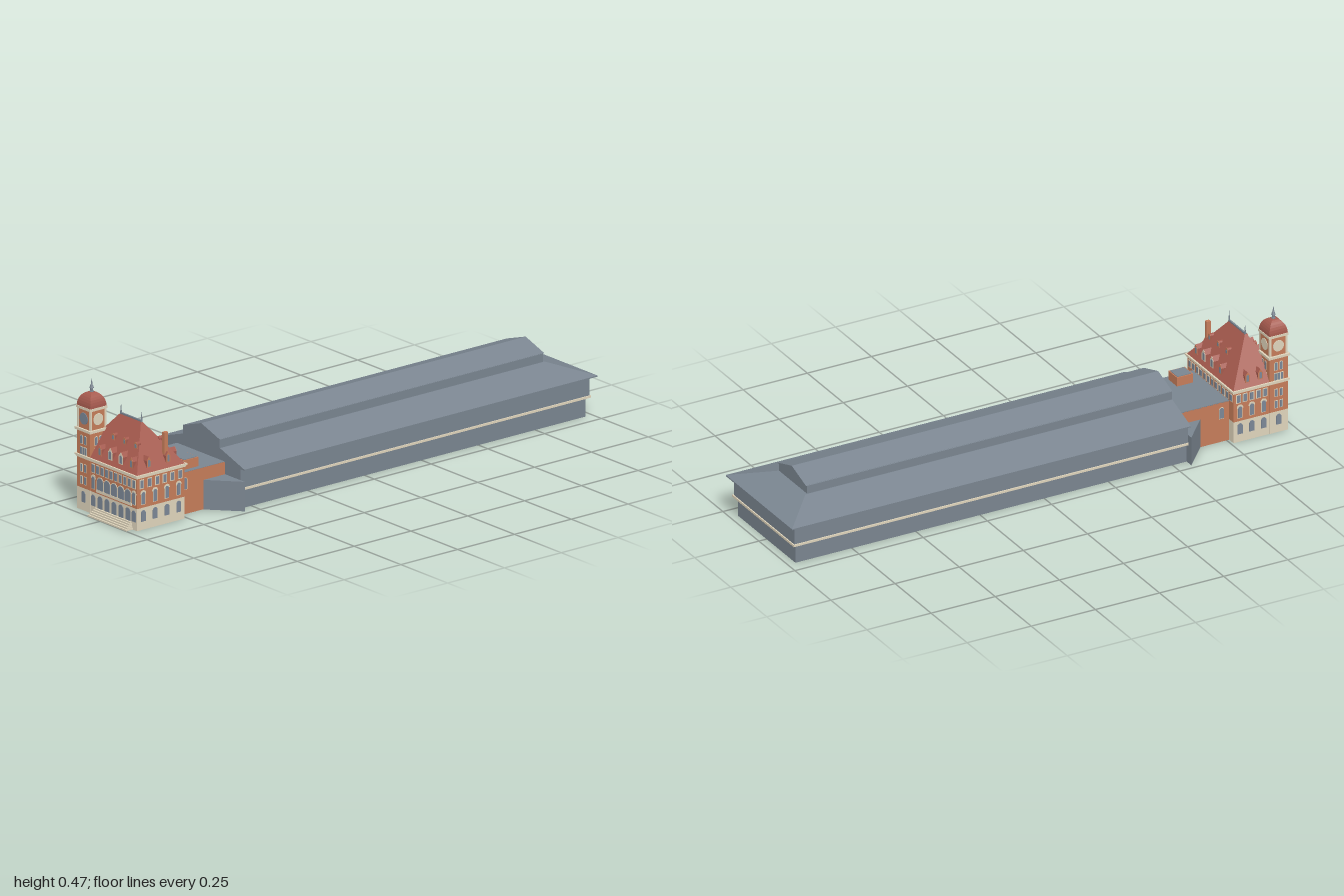
import * as THREE from 'three';

const mat = (name, color) => {
  const m = new THREE.MeshStandardMaterial({ color, side: THREE.DoubleSide });
  m.name = name;
  return m;
};

export function createModel() {
  const root = new THREE.Group();
  root.name = 'trainStation';
  const brick = mat('brick', 0xc67d5a), stone = mat('cream stone', 0xe0d5bc);
  const tile = mat('red roof tile', 0xa65a4e), slate = mat('slate', 0x7a8590);
  const glass = mat('window glass', 0x7c8796);

  const add = (parent, name, geo, m) => {
    const mesh = new THREE.Mesh(geo, m);
    mesh.name = name;
    parent.add(mesh);
    return mesh;
  };
  const group = (name, x, z, angle) => {
    const g = new THREE.Group();
    g.name = name;
    g.position.set(x, 0, z);
    g.rotation.y = angle;
    root.add(g);
    return g;
  };
  const flat = (geo) => {
    const g = geo.index ? geo.toNonIndexed() : geo;
    g.computeVertexNormals();
    return g;
  };
  // Box whose top rectangle may differ from its bottom; rectangles are [x0, x1, z0, z1]
  const block = (parent, name, m, y0, y1, a, b = a) => {
    const geo = new THREE.BoxGeometry(2, 2, 2), p = geo.attributes.position;
    for (let i = 0; i < p.count; i++) {
      const r = p.getY(i) > 0 ? b : a;
      p.setXYZ(i, r[p.getX(i) > 0 ? 1 : 0], p.getY(i) > 0 ? y1 : y0, r[p.getZ(i) > 0 ? 3 : 2]);
    }
    return add(parent, name, flat(geo), m);
  };
  // Open walls standing on a plan line of [x, z] points
  const walls = (name, m, y0, y1, pts) => {
    const v = [];
    for (let i = 0; i + 1 < pts.length; i++) {
      const [[ax, az], [bx, bz]] = [pts[i], pts[i + 1]];
      v.push(ax, y0, az, bx, y0, bz, bx, y1, bz, ax, y0, az, bx, y1, bz, ax, y1, az);
    }
    const geo = new THREE.BufferGeometry();
    geo.setAttribute('position', new THREE.Float32BufferAttribute(v, 3));
    return add(root, name, flat(geo), m);
  };
  const poly = (pts) => new THREE.Shape(pts.map(([x, y]) => new THREE.Vector2(x, y)));
  const extrude = (shape, depth) =>
    new THREE.ExtrudeGeometry(shape, { depth, bevelEnabled: false, curveSegments: 8 });
  // Flat slab raised from a plan outline of [x, z] points
  const planSlab = (name, m, y0, y1, pts) => {
    const geo = extrude(poly(pts.map(([x, z]) => [x, -z])), y1 - y0);
    geo.rotateX(-Math.PI / 2).translate(0, y0, 0);
    return add(root, name, geo, m);
  };
  // Upright opening outline, square or round-headed
  const pane = (u, w, y0, y1, arched) => {
    const s = new THREE.Shape(), r = w / 2;
    s.moveTo(u - r, y0);
    s.lineTo(u + r, y0);
    if (arched) {
      s.lineTo(u + r, y1 - r);
      s.absarc(u, y1 - r, r, 0, Math.PI, false);
    } else {
      s.lineTo(u + r, y1);
      s.lineTo(u - r, y1);
    }
    s.closePath();
    return s;
  };
  const plate = (g, name, d, shape, t, m) => { add(g, name, extrude(shape, t), m).position.z = d; };
  // Window pane with an optional stone surround on a wall at distance d
  const windowAt = (g, d, u, w, y0, y1, arched = false, f = 0) => {
    if (f) plate(g, 'windowSurround', d, pane(u, w + 2 * f, y0 - f, y1 + f, arched), 0.001, stone);
    plate(g, 'windowPane', d, pane(u, w, y0, y1, arched), 0.002, glass);
  };
  const hoodedWindow = (g, d, u) => {
    plate(g, 'windowHood', d, pane(u, 0.025, 0.128, 0.142, true), 0.001, stone);
    windowAt(g, d, u, 0.015, 0.092, 0.135, true, 0.002);
  };
  // Dormer on a roof face; depthAt gives the face distance at a height
  const dormer = (g, depthAt, u, y, w, h, m, round) => {
    const r = w / 2, e = y + h * 0.62, z0 = depthAt(y + h), len = depthAt(y) - z0;
    const shape = round ? pane(u, w, y, y + h, true)
      : poly([[u - r, y], [u + r, y], [u + r, e], [u, y + h], [u - r, e]]);
    plate(g, 'dormer', z0, shape, len, tile);
    plate(g, 'dormerFront', z0 + len, shape, 0.001, m);
    windowAt(g, z0 + len, u, w * 0.52, y + 0.003, e + h * 0.1, true);
  };

  // Head house: L-shaped plan leaving the front corner for the tower
  const plan = [[-0.16, 0.76], [0.16, 0.76], [0.16, 0.97], [-0.09, 0.97], [-0.09, 0.9], [-0.16, 0.9]];
  walls('groundStorey', stone, 0, 0.079, [...plan, plan[0]]);
  planSlab('firstFloor', stone, 0.075, 0.079, plan);
  planSlab('upperStoreys', brick, 0.079, 0.19, plan);
  block(root, 'cornice', stone, 0.187, 0.193, [-0.163, 0.163, 0.757, 0.973]);
  block(root, 'corniceLip', stone, 0.193, 0.199, [-0.167, 0.167, 0.753, 0.977]);
  block(root, 'headHouseRoof', tile, 0.199, 0.345, [-0.161, 0.161, 0.759, 0.971], [-0.056, 0.056, 0.863, 0.867]);
  block(root, 'ridgeCap', slate, 0.342, 0.349, [-0.056, 0.058, 0.862, 0.868]);
  for (const x of [-0.053, 0.057])
    add(root, 'ridgeFinial', new THREE.ConeGeometry(0.004, 0.04, 6), slate).position.set(x, 0.363, 0.865);

  // Facades
  const row = (n, a, b) => Array.from({ length: n }, (_, i) => a + (b - a) * i / (n - 1));
  const front = group('frontFacade', 0, 0.865, 0);
  const back = group('backFacade', 0, 0.865, Math.PI);
  const leftSide = group('leftFacade', 0, 0.865, Math.PI / 2);
  const rightSide = group('rightFacade', 0, 0.865, -Math.PI / 2);
  for (const u of row(5, -0.036, 0.112)) {
    windowAt(front, 0.105, u, 0.025, 0.028, 0.073, true);
    windowAt(front, 0.105, u, 0.031, 0.094, 0.138, true, 0.003);
  }
  block(front, 'balustrade', stone, 0.084, 0.094, [-0.056, 0.132, 0.1, 0.1075]);
  for (const u of [-0.073, 0.144]) {
    windowAt(front, 0.105, u, 0.02, 0.03, 0.07, true);
    hoodedWindow(front, 0.105, u);
  }
  for (const u of row(10, -0.074, 0.144)) windowAt(front, 0.105, u, 0.013, 0.151, 0.178, false, 0.003);
  for (const u of row(12, -0.143, 0.143)) windowAt(back, 0.105, u, 0.013, 0.156, 0.178, false, 0.003);
  for (const [g, lo, hi, n] of [[leftSide, -0.078, 0.078, 4], [rightSide, -0.08, 0.012, 3]]) {
    for (const u of row(n, lo, hi)) {
      windowAt(g, 0.16, u, 0.02, 0.03, 0.07, true);
      hoodedWindow(g, 0.16, u);
    }
    for (const u of row(n + 2, lo - 0.006, hi + 0.006)) windowAt(g, 0.16, u, 0.013, 0.151, 0.178, false, 0.003);
  }

  // Dormers
  const slope = (d, top) => (y) => d - (d - top) * (y - 0.199) / 0.146;
  for (const [g, s] of [[front, 1], [back, -1]]) {
    const at = slope(0.106, 0.002);
    for (const u of [-0.051, 0.118]) dormer(g, at, s * u, 0.214, 0.018, 0.037, brick, false);
    for (const u of [0.006, 0.063]) dormer(g, at, s * u, 0.213, 0.024, 0.043, stone, false);
    for (const u of [-0.026, 0.034, 0.094]) dormer(g, at, s * u, 0.269, 0.016, 0.023, brick, true);
  }
  const sideSlope = slope(0.161, 0.056);
  for (const u of [-0.045, 0.04]) dormer(leftSide, sideSlope, u, 0.214, 0.018, 0.038, brick, false);
  for (const u of [-0.045, 0.005]) dormer(rightSide, sideSlope, u, 0.214, 0.018, 0.038, brick, false);

  // Chimney
  block(root, 'chimneyStack', brick, 0.21, 0.319, [0.128, 0.141, 0.817, 0.833]);

  // Entrance steps
  for (let i = 0; i < 5; i++)
    block(root, 'step', stone, i * 0.0054, (i + 1) * 0.0054,
      [-0.068 + i * 0.002, 0.138 - i * 0.002, 0.965, 1 - i * 0.006]);

  // Clock tower
  const tx = -0.125, tz = 0.935, square = (h) => [tx - h, tx + h, tz - h, tz + h];
  const [x0, x1, z0, z1] = square(0.036);
  walls('towerBase', stone, 0, 0.08, [[x0, z0], [x1, z0], [x1, z1], [x0, z1], [x0, z0]]);
  block(root, 'towerShaft', brick, 0.08, 0.285, square(0.036));
  block(root, 'towerBand', stone, 0.187, 0.199, square(0.038));
  block(root, 'towerCornice', stone, 0.284, 0.293, square(0.041));
  block(root, 'clockStage', brick, 0.293, 0.362, square(0.034));
  for (const sx of [-1, 1]) for (const sz of [-1, 1]) {
    const cx = tx + sx * 0.0315, cz = tz + sz * 0.0315;
    block(root, 'cornerPier', stone, 0.293, 0.362, [cx - 0.004, cx + 0.004, cz - 0.004, cz + 0.004]);
  }
  block(root, 'domeCornice', stone, 0.362, 0.371, square(0.038));
  const dome = Array.from({ length: 9 }, (_, i) => {
    const a = i / 8 * Math.PI / 2;
    return new THREE.Vector2(0.036 * Math.SQRT2 * Math.cos(a), 0.371 + 0.05 * Math.sin(a));
  });
  add(root, 'towerDome', flat(new THREE.LatheGeometry(dome, 4, Math.PI / 4)), tile).position.set(tx, 0, tz);
  const spire = [[0.008, 0.417], [0.008, 0.422], [0.005, 0.423], [0.005, 0.432], [0.008, 0.433], [0.003, 0.447], [0, 0.468]];
  add(root, 'towerSpire', flat(new THREE.LatheGeometry(spire.map(([r, y]) => new THREE.Vector2(r, y)), 8)), slate)
    .position.set(tx, 0, tz);
  for (let k = 0; k < 4; k++) {
    const g = group('towerFace', tx, tz, k * Math.PI / 2);
    const clock = add(g, 'clockFace', new THREE.CylinderGeometry(0.021, 0.021, 0.004, 24), k === 0 ? glass : stone);
    clock.rotation.x = Math.PI / 2;
    clock.position.set(0, 0.329, 0.034);
    for (const u of [-0.01, 0.01]) windowAt(g, 0.036, u, 0.01, 0.239, 0.268, true, 0.002);
    for (const u of [-0.012, 0, 0.012]) windowAt(g, 0.036, u, 0.008, 0.201, 0.226, false, 0.002);
    if (k === 1 || k === 2) continue;
    windowAt(g, 0.036, 0, 0.019, 0.03, 0.069, true);
    for (const u of [-0.01, 0.01]) for (const y of [0.095, 0.139])
      windowAt(g, 0.036, u, 0.009, y, y + 0.026, false, 0.002);
  }

  // Link between head house and shed
  walls('linkWalls', brick, 0, 0.15, [[-0.13, 0.76], [-0.13, 0.555], [0.125, 0.555], [0.125, 0.76]]);
  block(root, 'linkRoof', slate, 0.148, 0.151, [-0.13, 0.125, 0.555, 0.76]);
  block(root, 'roofHousing', brick, 0.15, 0.184, [0.045, 0.105, 0.655, 0.718]);
  block(root, 'roofHousingTop', slate, 0.183, 0.186, [0.049, 0.101, 0.659, 0.714]);
  windowAt(leftSide, 0.125, 0.135, 0.016, 0.09, 0.13, true, 0.002);
  windowAt(rightSide, 0.13, -0.135, 0.016, 0.09, 0.13, true, 0.002);
  for (const s of [-1, 1]) {
    const wing = [[s * 0.127, 0.65], [s * 0.232, 0.555], [s * 0.127, 0.555]];
    walls('wingWalls', slate, 0, 0.104, wing);
    planSlab('wingRoof', slate, 0.102, 0.106, wing);
  }

  // Train shed: open base under a raised platform slab
  walls('shedLowerWall', slate, 0, 0.07,
    [[-0.2, -0.97], [0.2, -0.97], [0.2, 0.555], [-0.2, 0.555], [-0.2, -0.97]]);
  block(root, 'shedPlatform', stone, 0.069, 0.077, [-0.214, 0.214, -0.984, 0.555]);
  block(root, 'shedUpperWall', slate, 0.077, 0.145, [-0.21, 0.21, -0.98, 0.555]);
  block(root, 'shedEave', slate, 0.145, 0.149, [-0.23, 0.23, -1, 0.555]);
  block(root, 'shedRoof', slate, 0.149, 0.192, [-0.23, 0.23, -1, 0.555], [-0.1, 0.1, -0.875, 0.555]);
  block(root, 'monitorWall', slate, 0.19, 0.224, [-0.098, 0.098, -0.867, 0.555]);
  block(root, 'monitorRoof', slate, 0.223, 0.256, [-0.1, 0.1, -0.872, 0.556], [-0.0005, 0.0005, -0.872, 0.556]);
  return root;
}
